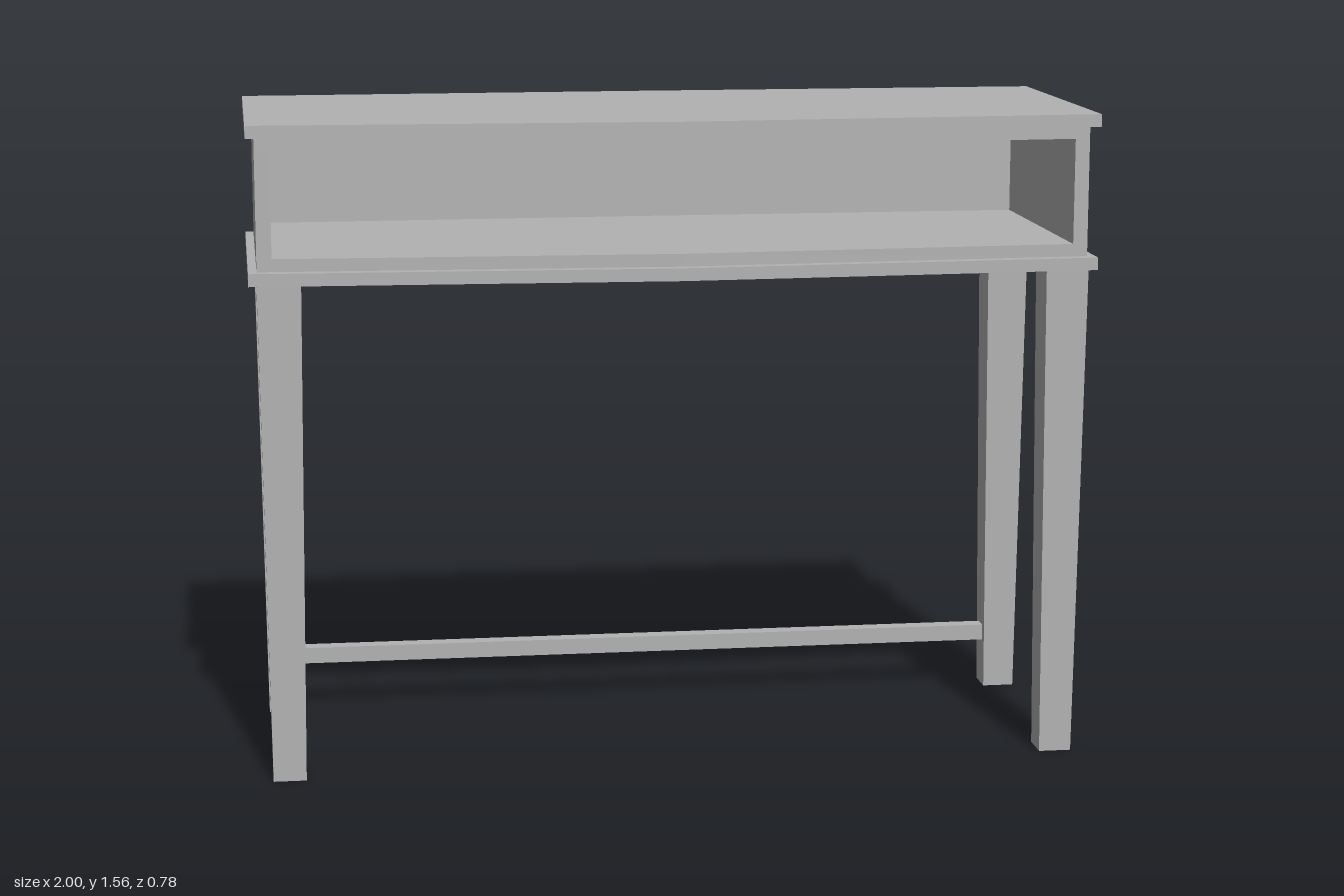
import * as THREE from 'three';

// Plan outline (x, z) with shallow bows at front and back
function bowedPlan(halfWidth, frontSide, frontMid, backSide, backMid) {
  return new THREE.Shape([
    [-halfWidth, backSide], [0, backMid], [halfWidth, backSide],
    [halfWidth, frontSide], [0, frontMid], [-halfWidth, frontSide],
  ].map(([x, z]) => new THREE.Vector2(x, z)));
}

// Extrudes a plan outline vertically between two heights
function slab(name, plan, bottom, top, material) {
  const geometry = new THREE.ExtrudeGeometry(plan, { depth: top - bottom, bevelEnabled: false });
  geometry.rotateX(Math.PI / 2);
  geometry.translate(0, top, 0);
  const mesh = new THREE.Mesh(geometry, material);
  mesh.name = name;
  return mesh;
}

// Square leg narrowing towards the floor
function taperedLeg(topWidth, bottomWidth, height) {
  const geometry = new THREE.BoxGeometry(topWidth, height, topWidth);
  const p = geometry.attributes.position;
  for (let i = 0; i < p.count; i++) {
    if (p.getY(i) < 0) {
      const k = bottomWidth / topWidth;
      p.setX(i, p.getX(i) * k);
      p.setZ(i, p.getZ(i) * k);
    }
  }
  geometry.translate(0, height / 2, 0);
  geometry.computeVertexNormals();
  return geometry;
}

export function createModel() {
  const model = new THREE.Group();
  model.name = 'consoleTable';
  const grey = new THREE.MeshStandardMaterial({ color: 0xb2b2b2 });
  grey.name = 'grey';

  // Overhanging top and base boards
  const board = bowedPlan(1, 0.345, 0.387, -0.383, -0.39);
  model.add(slab('tableTop', board, 1.53, 1.56, grey));
  model.add(slab('baseBoard', board, 1.19, 1.22, grey));

  // Open-fronted compartment: floor, ceiling and U-shaped wall
  const box = bowedPlan(0.98, 0.318, 0.36, -0.35, -0.357);
  model.add(slab('compartmentFloor', box, 1.22, 1.25, grey));
  model.add(slab('compartmentCeiling', box, 1.5, 1.53, grey));
  const wall = new THREE.Shape([
    [-0.98, -0.35], [0, -0.357], [0.98, -0.35], [0.98, 0.318], [0.945, 0.3195],
    [0.945, -0.315], [0, -0.322], [-0.945, -0.315], [-0.945, 0.3195], [-0.98, 0.318],
  ].map(([x, z]) => new THREE.Vector2(x, z)));
  model.add(slab('compartmentWalls', wall, 1.25, 1.5, grey));

  // Four tapered legs
  const legGeometry = taperedLeg(0.102, 0.078, 1.19);
  for (const side of [-1, 1]) {
    for (const [name, z] of [['frontLeg', 0.281], ['backLeg', -0.309]]) {
      const leg = new THREE.Mesh(legGeometry, grey);
      leg.name = (side > 0 ? 'left' : 'right') + name[0].toUpperCase() + name.slice(1);
      leg.position.set(side * 0.93, 0, z);
      model.add(leg);
    }
  }

  // Rail joining the back legs
  const rail = new THREE.Mesh(new THREE.BoxGeometry(1.79, 0.04, 0.04), grey);
  rail.name = 'backStretcher';
  rail.position.set(0, 0.14, -0.309);
  model.add(rail);

  return model;
}
